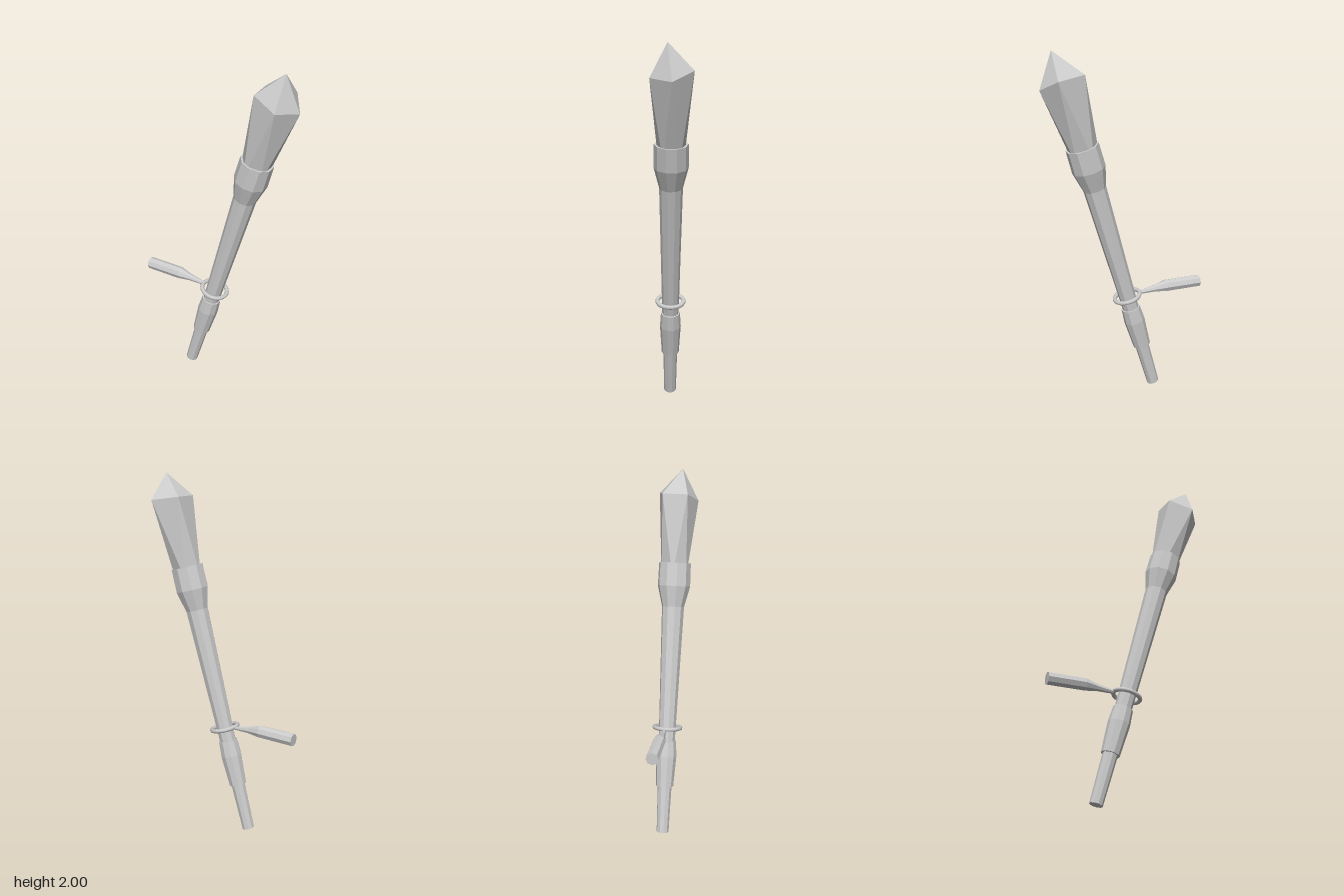
import * as THREE from 'three';
import { ConvexGeometry } from 'three/addons/geometries/ConvexGeometry.js';

const TILT = -0.273; // lean of the shaft towards +x
const SIDES = 10;

export function createModel() {
  const model = new THREE.Group();
  model.name = 'torch';
  const material = new THREE.MeshStandardMaterial({ color: 0xcccccc, flatShading: true });
  const smooth = new THREE.MeshStandardMaterial({ color: 0xcccccc });

  const add = (parent, name, geometry, mat = material) => {
    const mesh = new THREE.Mesh(geometry, mat);
    mesh.name = name;
    parent.add(mesh);
    return mesh;
  };
  const lathe = (profile, sides = SIDES) =>
    new THREE.LatheGeometry(profile.map(([r, y]) => new THREE.Vector2(r, y)), sides);

  // Leaning staff: everything here is turned about the shaft's own axis
  const staff = new THREE.Group();
  staff.name = 'staff';
  staff.position.set(-0.178, 0.01, 0);
  staff.rotation.z = TILT;
  model.add(staff);

  // Shaft with a flared, hollow cup at the top
  add(staff, 'shaftAndCup', lathe([
    [0, 0], [0.035, 0], [0.041, 0.3], [0.047, 0.55], [0.063, 1.305],
    [0.092, 1.42], [0.09, 1.548], [0.079, 1.548], [0.076, 1.46], [0, 1.46],
  ]));

  // Grip sleeve around the lower shaft
  add(staff, 'gripSleeve', lathe([
    [0.039, 0.272], [0.05, 0.272], [0.06, 0.45], [0.054, 0.537], [0.046, 0.537],
  ]));

  // Loose ring around the shaft
  const ring = add(staff, 'ring', new THREE.TorusGeometry(0.074, 0.012, 8, 24), smooth);
  ring.rotation.x = Math.PI / 2;
  ring.position.y = 0.614;

  // Side handle: straight grip, then a thin neck drooping to the ring
  const handle = lathe([
    [0, 0], [0.035, 0], [0.035, 0.21], [0.02, 0.28], [0.011, 0.37], [0, 0.37],
  ], 8);
  handle.rotateZ(-Math.PI / 2);
  const p = handle.attributes.position;
  for (let i = 0; i < p.count; i++) {
    const t = Math.max(0, (p.getX(i) - 0.21) / 0.16);
    p.setY(i, p.getY(i) - 0.017 * t);
  }
  handle.computeVertexNormals();
  add(model, 'sideHandle', handle).position.set(-0.46, 0.632, -0.003);

  // Crystal: narrow pentagon in the cup, uneven wide pentagon, off-centre tip
  const points = [
    [0.385, 2, 0.02],
    [0.457, 1.807, 0], [0.376, 1.828, 0.11], [0.243, 1.882, 0.068],
    [0.238, 1.885, -0.07], [0.388, 1.863, -0.112],
  ].map((c) => new THREE.Vector3(...c));
  staff.updateMatrix();
  for (let i = 0; i < 5; i++) {
    const a = (i + 0.5) * Math.PI * 0.4;
    points.push(new THREE.Vector3(0.077 * Math.cos(a), 1.47, 0.073 * Math.sin(a))
      .applyMatrix4(staff.matrix));
  }
  add(model, 'crystal', new ConvexGeometry(points));

  return model;
}
